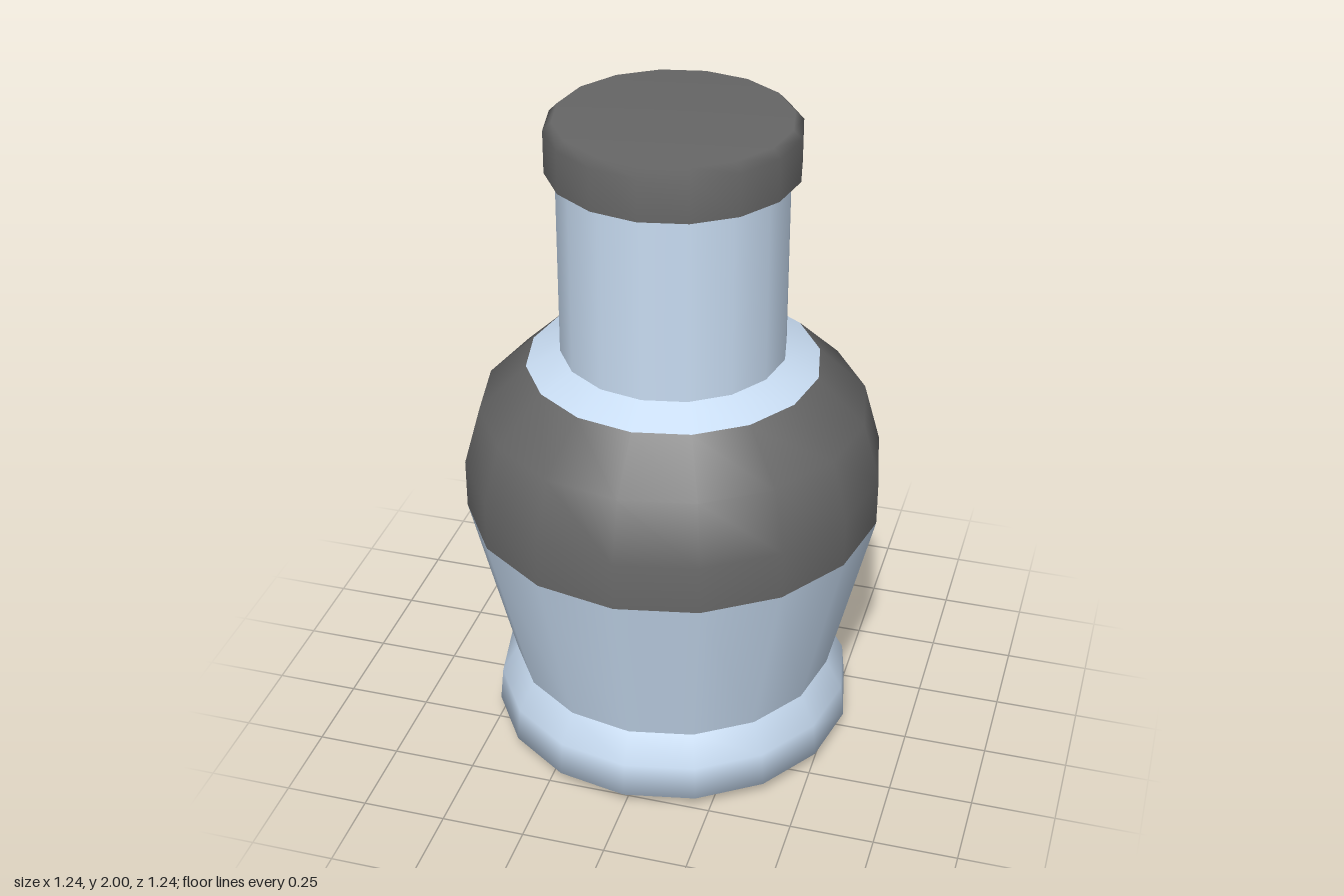
import * as THREE from 'three';

const SIDES = 16;

export function createModel() {
  const group = new THREE.Group();
  const glass = new THREE.MeshStandardMaterial({ color: 0xc8dcf2 });
  const dark = new THREE.MeshStandardMaterial({ color: 0x666666 });

  // Turned part from a [radius, height] profile, listed bottom to top
  const turn = (name, profile, material) => {
    const points = profile.map(([r, y]) => new THREE.Vector2(r, y));
    const mesh = new THREE.Mesh(new THREE.LatheGeometry(points, SIDES), material);
    mesh.name = name;
    group.add(mesh);
  };

  // Rounded foot with closed bottom, pinched in at the waist
  turn('foot', [[0, 0], [0.45, 0], [0.55, 0.045], [0.54, 0.15], [0.49, 0.24]], glass);
  // Flaring lower body
  turn('lowerBody', [[0.49, 0.24], [0.62, 0.78]], glass);
  // Dark band round the shoulder
  turn('shoulderBand', [[0.62, 0.78], [0.62, 0.93], [0.57, 1.11], [0.43, 1.245]], dark);
  // Upper shoulder and neck
  turn('upperShoulder', [[0.43, 1.245], [0.33, 1.29]], glass);
  turn('neck', [[0.33, 1.29], [0.33, 1.86]], glass);
  // Cap: underside, wall with a small bevel, and top
  turn('capUnderside', [[0, 1.85], [0.36, 1.85]], dark);
  turn('cap', [[0.36, 1.85], [0.36, 1.975], [0.335, 2], [0, 2]], dark);

  return group;
}
